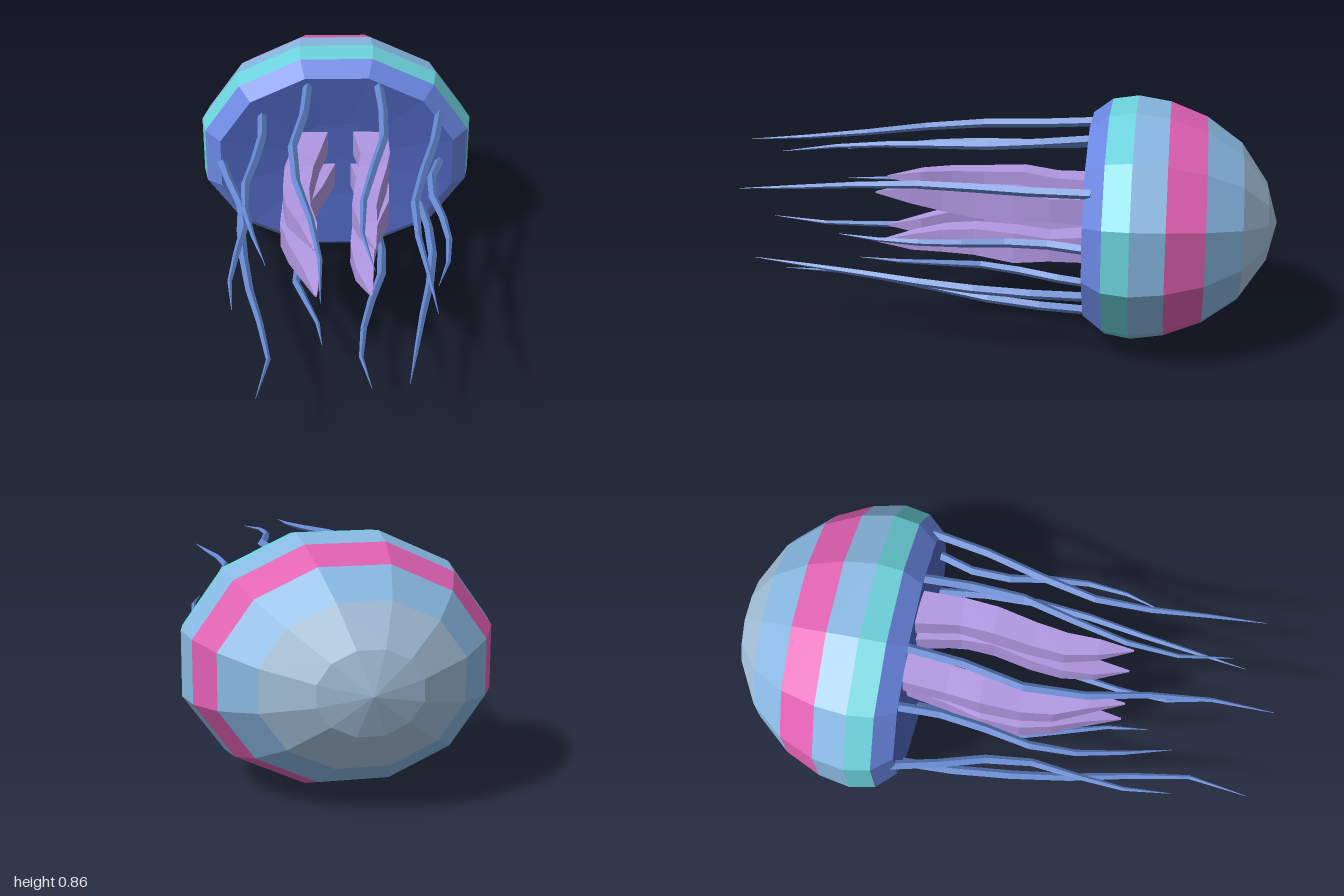
import * as THREE from 'three';

const paint = (name, color) => {
  const m = new THREE.MeshStandardMaterial({ color, flatShading: true });
  m.name = name;
  return m;
};

const CENTER_Y = 0.4275;
const SQUARE = [[-1, -1], [1, -1], [1, 1], [-1, 1]];
const DIAMOND = [[0, -1], [1, 0], [0, 1], [-1, 0]];

// Faceted ring of the bell: profile points are [radius, z], swept round the z axis and flattened in y
function bellBand(name, profile, material) {
  const pts = profile.map(([r, z]) => new THREE.Vector2(r, z));
  const geo = new THREE.LatheGeometry(pts, 12, Math.PI / 12);
  geo.rotateX(Math.PI / 2);
  geo.scale(1, 0.803, 1);
  geo.translate(0, CENTER_Y, 0);
  const mesh = new THREE.Mesh(geo, material);
  mesh.name = name;
  return mesh;
}

// Four-sided strand through stations [x, y, z, halfWidth, halfHeight], ordered by growing z
function strand(name, section, stations, material) {
  const pos = [], index = [];
  for (const [x, y, z, w, h] of stations)
    for (const [cx, cy] of section) pos.push(x + cx * w, y + cy * h, z);
  for (let s = 0; s < stations.length - 1; s++)
    for (let i = 0; i < 4; i++) {
      const j = (i + 1) % 4, a = s * 4 + i, b = s * 4 + j;
      index.push(a, b, b + 4, a, b + 4, a + 4);
    }
  const e = (stations.length - 1) * 4;
  index.push(0, 2, 1, 0, 3, 2, e, e + 1, e + 2, e, e + 2, e + 3);
  const geo = new THREE.BufferGeometry();
  geo.setAttribute('position', new THREE.Float32BufferAttribute(pos, 3));
  geo.setIndex(index);
  geo.computeVertexNormals();
  const mesh = new THREE.Mesh(geo, material);
  mesh.name = name;
  return mesh;
}

export function createModel() {
  const model = new THREE.Group();
  model.name = 'jellyfish';

  const crownGrey = paint('pale grey blue', 0xa4c0da);
  const skyBlue = paint('sky blue', 0x88b8e2);
  const pink = paint('pink', 0xe060b2);
  const teal = paint('teal', 0x6cd2dc);
  const rimBlue = paint('rim blue', 0x6a86e2);
  const undersideBlue = paint('underside blue', 0x4e64bc);
  const tentacleBlue = paint('tentacle blue', 0x6488d0);
  const lilac = paint('lilac', 0xb197e2);

  // Bell, from the crown at the back to the rim and the shallow underside
  const rings = [[0, -1], [0.18, -0.96], [0.352, -0.865], [0.466, -0.735],
    [0.53, -0.6], [0.553, -0.48], [0.535, -0.385], [0.471, -0.315],
    [0.2, -0.345], [0, -0.35]];
  const bell = new THREE.Group();
  bell.name = 'bell';
  bell.add(
    bellBand('crown', rings.slice(0, 3), crownGrey),
    bellBand('upperBand', rings.slice(2, 4), skyBlue),
    bellBand('pinkStripe', rings.slice(3, 5), pink),
    bellBand('lowerBand', rings.slice(4, 6), skyBlue),
    bellBand('tealStripe', rings.slice(5, 7), teal),
    bellBand('rim', rings.slice(6, 8), rimBlue),
    bellBand('underside', rings.slice(7), undersideBlue),
  );
  model.add(bell);

  // Thick wavy mouth arms: one x path per arm, shared taper, mirrored above and below the middle
  const armZ = [-0.36, -0.18, -0.05, 0.1, 0.22, 0.34, 0.47];
  const armW = [0.068, 0.056, 0.054, 0.048, 0.044, 0.032, 0.003];
  const armMid = [0.072, 0.075, 0.075, 0.073, 0.08, 0.092, 0.097];
  const armH = [0.05, 0.043, 0.057, 0.05, 0.043, 0.03, 0.003];
  const armPaths = [
    [-0.1, -0.125, -0.145, -0.155, -0.145, -0.11, -0.09, 1],
    [-0.07, -0.115, -0.155, -0.168, -0.14, -0.1, -0.085, -1],
    [0.13, 0.145, 0.13, 0.105, 0.09, 0.1, 0.12, 1],
    [0.12, 0.145, 0.14, 0.1, 0.085, 0.09, 0.11, -1],
  ];
  armPaths.forEach((path, n) => {
    const side = path[7];
    model.add(strand('mouthArm' + (n + 1), SQUARE, armZ.map((z, i) =>
      [path[i], CENTER_Y + side * armMid[i], z, armW[i], armH[i]]), lilac));
  });

  // Thin tentacles: x path from root to tip, y at root and tip, z of tip
  const tentacles = [
    { x: [-0.11, -0.125, -0.165, -0.15, -0.1, -0.07, -0.07], y: [0.76, 0.66], end: 0.99 },
    { x: [0.16, 0.17, 0.165, 0.12, 0.08, 0.07, 0.105], y: [0.76, 0.665], end: 0.82 },
    { x: [0.4, 0.365, 0.31, 0.265, 0.265, 0.285, 0.3], y: [0.63, 0.575], end: 0.93 },
    { x: [0.41, 0.365, 0.36, 0.385, 0.395, 0.38, 0.335], y: [0.43, 0.43], end: 0.56 },
    { x: [0.335, 0.355, 0.355, 0.33, 0.29, 0.255, 0.22], y: [0.23, 0.285], end: 0.91 },
    { x: [0.16, 0.175, 0.165, 0.12, 0.085, 0.07, 0.1], y: [0.11, 0.205], end: 0.83 },
    { x: [-0.11, -0.12, -0.15, -0.16, -0.12, -0.08, -0.065], y: [0.11, 0.2], end: 0.58 },
    { x: [-0.38, -0.375, -0.355, -0.325, -0.28, -0.245, -0.28], y: [0.23, 0.285], end: 0.98 },
    { x: [-0.455, -0.415, -0.365, -0.345, -0.365, -0.38, -0.365], y: [0.43, 0.43], end: 0.69 },
    { x: [-0.29, -0.285, -0.305, -0.335, -0.33, -0.295, -0.25], y: [0.63, 0.585], end: 0.66 },
  ];
  const thickness = [0.018, 0.0175, 0.017, 0.015, 0.012, 0.008, 0.001];
  tentacles.forEach(({ x, y, end }, n) => {
    const root = -0.34;
    model.add(strand('tentacle' + (n + 1), DIAMOND, x.map((px, i) => {
      const t = i / (x.length - 1);
      return [px, THREE.MathUtils.lerp(y[0], y[1], t), THREE.MathUtils.lerp(root, end, t),
        thickness[i], thickness[i]];
    }), tentacleBlue));
  });

  return model;
}
